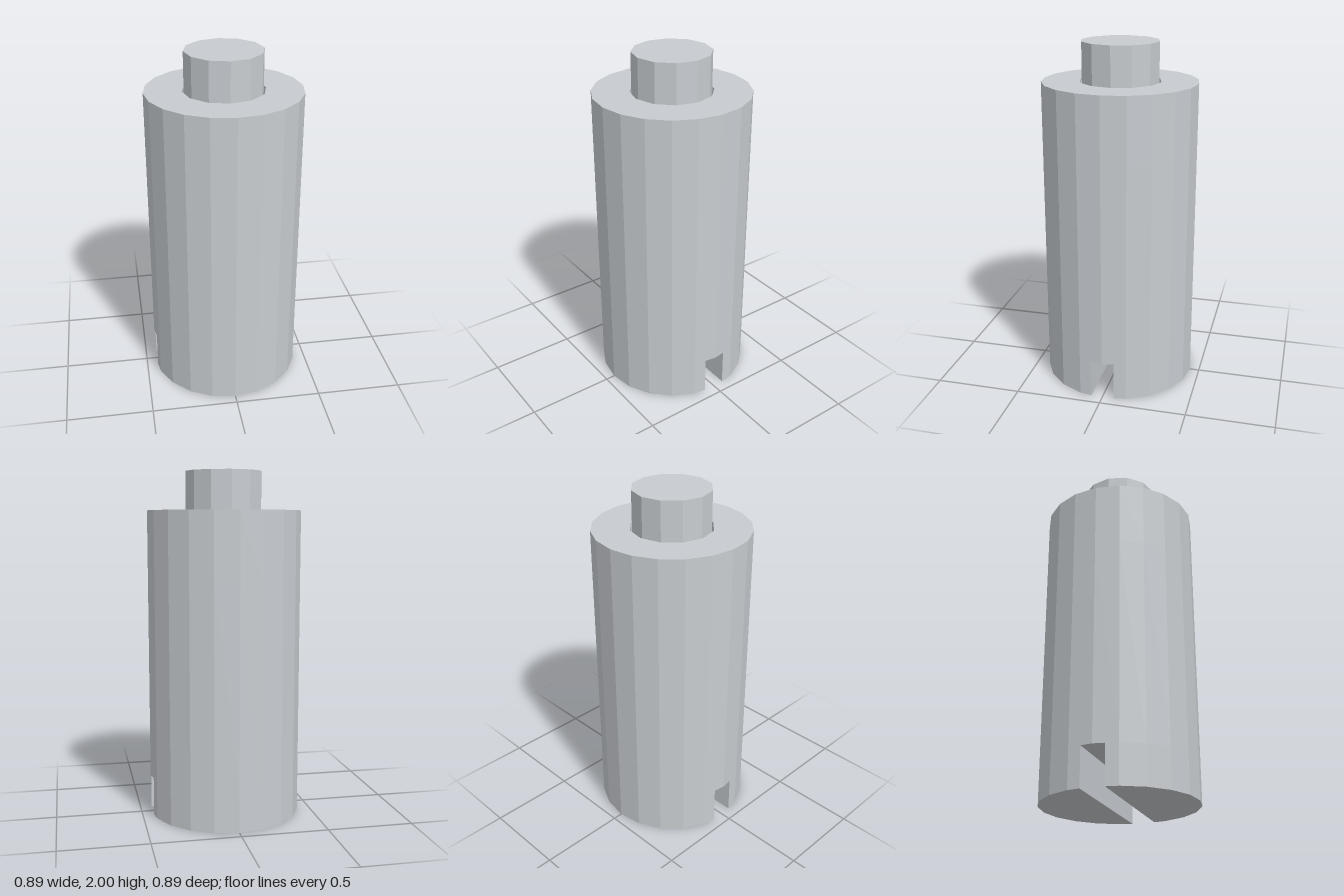
import * as THREE from 'three';

const R = 0.4444, SIDES = 20;          // body radius and facets
const BORE = 0.234, PIN = 0.2222;      // bore and pin radii
const TOP = 1.7778, BORE_FLOOR = 1.4;  // body top, bottom of the bore
const SLOT_H = 0.2222, SLOT_Z = 0.0667; // slot height and half width

// Corners of a regular polygon, the first one on +x
function ring(radius, sides) {
  return Array.from({ length: sides }, (_, i) => {
    const a = (i / sides) * Math.PI * 2;
    return new THREE.Vector2(Math.cos(a) * radius, Math.sin(a) * radius);
  });
}

// Upright prism between two heights
function prism(name, shape, y0, y1, material) {
  const geo = new THREE.ExtrudeGeometry(shape, { depth: y1 - y0, bevelEnabled: false });
  geo.rotateX(-Math.PI / 2);
  const mesh = new THREE.Mesh(geo, material);
  mesh.position.y = y0;
  mesh.name = name;
  return mesh;
}

export function createModel() {
  const group = new THREE.Group();
  group.name = 'springPlunger';
  const steel = new THREE.MeshStandardMaterial({ color: 0xc8ccd0 });
  steel.name = 'steel';

  // Solid middle of the body
  const outline = ring(R, SIDES);
  group.add(prism('body', new THREE.Shape(outline), SLOT_H, BORE_FLOOR, steel));

  // Upper sleeve with a twelve-sided bore
  const sleeve = new THREE.Shape(outline);
  sleeve.holes.push(new THREE.Path(ring(BORE, 12).reverse()));
  group.add(prism('sleeve', sleeve, BORE_FLOOR, TOP, steel));

  // Two halves of the foot on either side of the screwdriver slot
  const t = SLOT_Z / outline[1].y;
  const slotX = THREE.MathUtils.lerp(outline[0].x, outline[1].x, t);
  const half = [
    new THREE.Vector2(slotX, SLOT_Z),
    ...outline.slice(1, SIDES / 2),
    new THREE.Vector2(-slotX, SLOT_Z),
  ];
  for (const [name, turn] of [['backFoot', 0], ['frontFoot', Math.PI]]) {
    const foot = prism(name, new THREE.Shape(half), 0, SLOT_H, steel);
    foot.rotation.y = turn;
    group.add(foot);
  }

  // Pin rising out of the bore
  group.add(prism('pin', new THREE.Shape(ring(PIN, 12)), BORE_FLOOR, 2, steel));
  return group;
}
